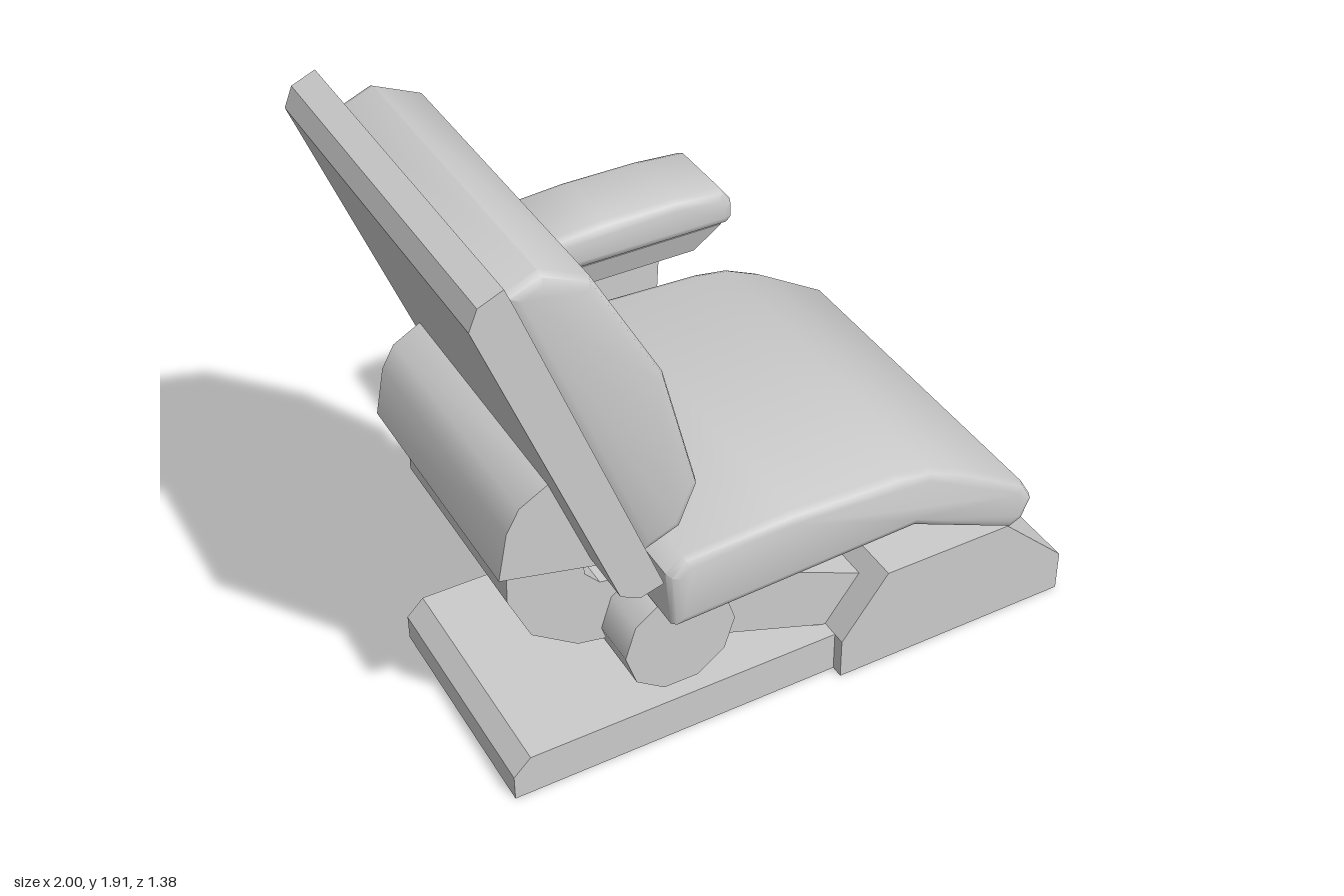
import * as THREE from 'three';
import { toCreasedNormals } from 'three/addons/utils/BufferGeometryUtils.js';

const grey = new THREE.MeshStandardMaterial({ color: 0xcccccc });
const greyDouble = new THREE.MeshStandardMaterial({ color: 0xcccccc, side: THREE.DoubleSide });

// Side profile in x/y swept from z0 to z1, with an optional inset bevel
function sweep(points, z0, z1, bevel = 0, crease = 0.6) {
  const shape = new THREE.Shape(points.map(([x, y]) => new THREE.Vector2(x, y)));
  const geo = new THREE.ExtrudeGeometry(shape, {
    depth: z1 - z0 - 2 * bevel,
    bevelEnabled: bevel > 0,
    bevelSize: bevel,
    bevelThickness: bevel,
    bevelOffset: -bevel,
    bevelSegments: 2,
  });
  geo.translate(0, 0, z0 + bevel);
  return toCreasedNormals(geo, crease);
}

// Removes the faces lying on the ground, leaving an open shell
function openBottom(geo) {
  const p = geo.attributes.position;
  const kept = [];
  for (let i = 0; i < p.count; i += 3) {
    if (Math.max(p.getY(i), p.getY(i + 1), p.getY(i + 2)) > 0.001) kept.push(i, i + 1, i + 2);
  }
  geo.setIndex(kept);
  return geo;
}

// Tapered block: bottom and top are [x0, x1, z0, z1]
function taper(y0, y1, bottom, top) {
  const geo = new THREE.BoxGeometry(1, 1, 1).toNonIndexed();
  const p = geo.attributes.position;
  for (let i = 0; i < p.count; i++) {
    const r = p.getY(i) > 0 ? top : bottom;
    p.setXYZ(i, p.getX(i) > 0 ? r[1] : r[0], p.getY(i) > 0 ? y1 : y0, p.getZ(i) > 0 ? r[3] : r[2]);
  }
  geo.computeVertexNormals();
  return geo;
}

export function createModel() {
  const model = new THREE.Group();
  const add = (name, geo, material = grey) => {
    const mesh = new THREE.Mesh(geo, material);
    mesh.name = name;
    model.add(mesh);
  };

  // Floor base: low plate and raised housing, both hollow underneath
  add('basePlate', openBottom(sweep(
    [[-0.885, 0], [0.2, 0], [0.2, 0.14], [-0.83, 0.14], [-0.885, 0.085]], -0.27, 0.49)), greyDouble);
  add('baseHousing', openBottom(sweep(
    [[0.19, 0], [1, 0], [1, 0.14], [0.78, 0.35], [0.345, 0.35], [0.19, 0.14]], -0.3, 0.53)), greyDouble);

  // Lifting mechanism
  add('liftArm', sweep(
    [[-0.39, 0.35], [0.18, 0.14], [0.36, 0.14], [0.36, 0.27], [-0.06, 0.46], [-0.39, 0.6]], -0.22, 0.435));
  const pivot = new THREE.CylinderGeometry(0.175, 0.175, 0.945, 10);
  pivot.rotateX(Math.PI / 2).rotateZ(Math.PI / 2 + Math.PI / 2);
  // Turn the decagon so that a corner points forward and a flat points down
  pivot.rotateZ(Math.PI / 2).translate(-0.39, 0.475, 0.1075);
  add('pivot', toCreasedNormals(pivot, 0.8));
  add('seatBeam', sweep(
    [[-0.4, 0.45], [0.555, 0.45], [0.555, 0.57], [0.33, 0.665], [-0.4, 0.64]], -0.25, 0.465));

  // Backrest support
  add('curvedBackArm', sweep(
    [[-0.84, 0.9], [-0.845, 0.7], [-0.78, 0.55], [-0.64, 0.45], [-0.4, 0.4], [-0.4, 0.62],
      [-0.565, 0.65], [-0.61, 0.7], [-0.62, 0.85]], -0.22, 0.435));
  add('backBracket', sweep(
    [[-0.9, 0.87], [-0.53, 0.78], [-0.52, 0.82], [-0.66, 1.17], [-0.74, 1.14], [-0.83, 1.09], [-0.87, 1.02]],
    -0.3, 0.52));

  // Backrest
  add('backPanel', sweep(
    [[-1, 1.82], [-0.63, 0.83], [-0.57, 0.8], [-0.5, 0.82], [-0.885, 1.86], [-0.905, 1.91], [-0.975, 1.88]],
    -0.48, 0.69, 0, 0.3));
  add('backCushion', sweep(
    [[-0.875, 1.83], [-0.525, 0.885], [-0.41, 0.93], [-0.355, 1.06], [-0.45, 1.45], [-0.645, 1.81],
      [-0.78, 1.87]], -0.42, 0.63, 0.03, 0.85));

  // Seat
  add('seatCushion', sweep(
    [[-0.465, 0.633], [0.31, 0.665], [0.66, 0.508], [0.705, 0.53], [0.735, 0.6], [0.7, 0.66], [0.47, 0.8],
      [0.36, 0.85], [0.25, 0.868], [-0.1, 0.882], [-0.43, 0.865], [-0.48, 0.82]], -0.48, 0.69, 0.03, 0.85));

  // Single armrest on the far side
  add('armrestPad', sweep(
    [[-0.31, 1.085], [-0.29, 1.065], [0.325, 1.065], [0.345, 1.085], [0.345, 1.14], [0.31, 1.188],
      [0.15, 1.2], [-0.1, 1.2], [-0.27, 1.188], [-0.31, 1.15]], -0.69, -0.4, 0.03, 0.85));
  add('armrestBracket', taper(0.98, 1.07, [-0.19, 0.225, -0.645, -0.44], [-0.265, 0.305, -0.67, -0.41]));
  add('armrestPost', taper(0.57, 0.98, [-0.07, 0.11, -0.56, -0.5], [-0.1, 0.135, -0.585, -0.5]));
  add('armrestFoot', taper(0.57, 0.65, [-0.07, 0.11, -0.5, -0.29], [-0.075, 0.115, -0.5, -0.29]));

  return model;
}
